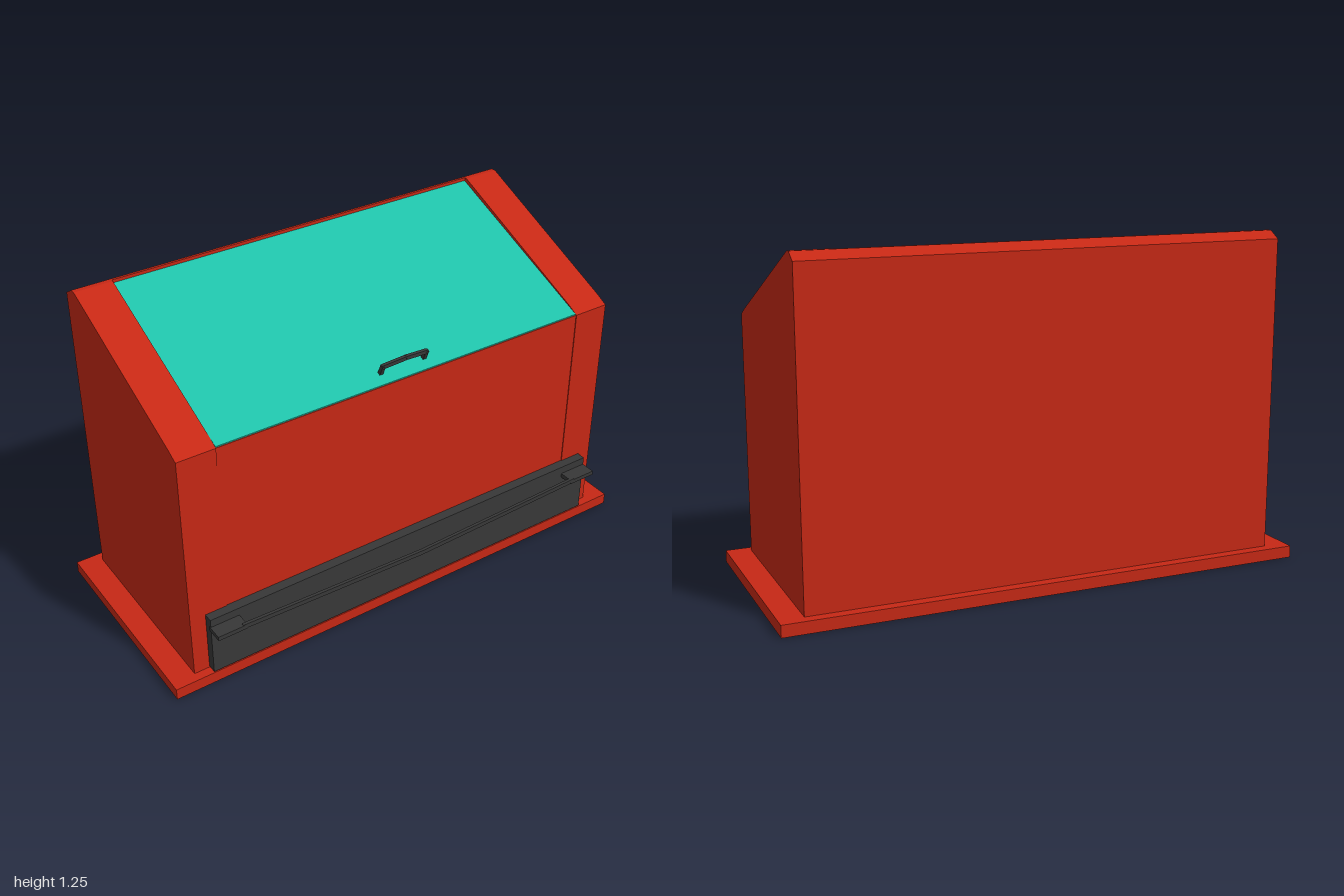
import * as THREE from 'three';

const mat = (color) => new THREE.MeshStandardMaterial({ color, flatShading: true });

export function createModel() {
  const root = new THREE.Group();
  const red = mat(0xc62815), teal = mat(0x1fc2a9), dark = mat(0x383838);

  const add = (name, geometry, material, parent = root) => {
    const mesh = new THREE.Mesh(geometry, material);
    mesh.name = name;
    parent.add(mesh);
    return mesh;
  };

  // Box given by its minimum and maximum corners
  const box = (name, [x0, y0, z0], [x1, y1, z1], material, parent) =>
    add(name, new THREE.BoxGeometry(x1 - x0, y1 - y0, z1 - z0), material, parent)
      .position.set((x0 + x1) / 2, (y0 + y1) / 2, (z0 + z1) / 2);

  // Side profile of [z, y] points, extruded across the width from x0 to x1
  const slab = (name, profile, x0, x1, material, parent) => {
    const shape = new THREE.Shape(profile.map(([z, y]) => new THREE.Vector2(z, y)));
    const geometry = new THREE.ExtrudeGeometry(shape, { depth: x1 - x0, bevelEnabled: false });
    geometry.rotateY(-Math.PI / 2).translate(x1, 0, 0);
    return add(name, geometry, material, parent);
  };

  // Square bar between consecutive points
  const bars = (name, points, width, height, parent) => {
    for (let i = 1; i < points.length; i++) {
      const a = new THREE.Vector3(...points[i - 1]), b = new THREE.Vector3(...points[i]);
      const bar = add(name, new THREE.BoxGeometry(width, height, a.distanceTo(b) + width * 0.6), dark, parent);
      bar.position.copy(a).lerp(b, 0.5);
      bar.lookAt(b);
    }
  };

  // Base plate
  box('basePlate', [-1, 0, -0.45], [1, 0.045, 0.375], red);

  // Side walls with sloped, chamfered tops
  const sideProfile = [
    [0.34, 0.04], [0.34, 0.955], [0.29, 0.98], [-0.345, 1.253],
    [-0.365, 1.253], [-0.41, 1.225], [-0.41, 0.04],
  ];
  slab('leftWall', sideProfile, 0.765, 0.91, red);
  slab('rightWall', sideProfile, -0.91, -0.765, red);

  // Middle of the cabinet, with a shallow recess for the lid and a raised back ridge
  slab('cabinetBody', [
    [0.337, 0.04], [0.337, 0.953], [-0.355, 1.228], [-0.355, 1.253],
    [-0.365, 1.253], [-0.41, 1.225], [-0.41, 0.04],
  ], -0.765, 0.765, red);

  // Sloping lid
  slab('lid', [[0.335, 0.945], [0.335, 0.958], [-0.355, 1.241], [-0.355, 1.22]], -0.764, 0.764, teal);

  // Lid handle
  const handle = new THREE.Group();
  handle.name = 'lidHandle';
  root.add(handle);
  bars('handleBar', [
    [-0.092, 0.968, 0.288], [-0.092, 1.01, 0.306], [0, 1.021, 0.315],
    [0.092, 1.01, 0.306], [0.092, 0.968, 0.288],
  ], 0.014, 0.014, handle);

  // Front board and its bowed rail on two brackets
  const front = new THREE.Group();
  front.name = 'frontBumper';
  root.add(front);
  box('frontBoard', [-0.85, 0.05, 0.335], [0.853, 0.29, 0.375], dark, front);
  for (const s of [-1, 1]) {
    const bracket = add('railBracket', new THREE.BoxGeometry(0.115, 0.017, 0.065), dark, front);
    bracket.position.set(s * 0.795, 0.25, 0.4);
  }
  bars('bowedRail', [
    [-0.75, 0.253, 0.426], [-0.38, 0.249, 0.434], [0, 0.245, 0.441],
    [0.38, 0.249, 0.434], [0.75, 0.253, 0.426],
  ], 0.012, 0.018, front);

  return root;
}
